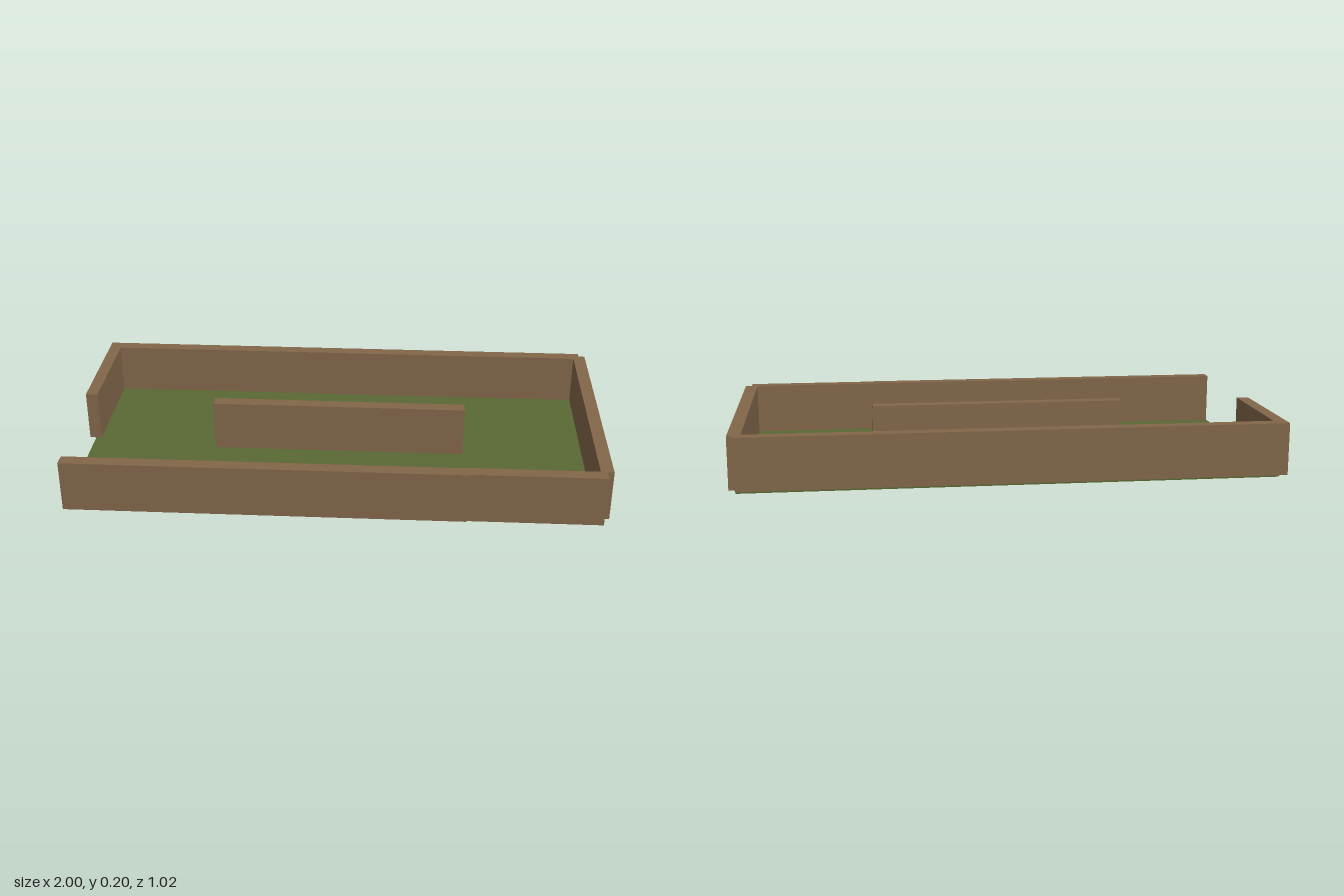
import * as THREE from 'three';

export function createModel() {
  const model = new THREE.Group();
  const wood = new THREE.MeshStandardMaterial({ color: 0x82674a });
  wood.name = 'brown wood';
  const grass = new THREE.MeshStandardMaterial({ color: 0x5a6833 });
  grass.name = 'olive green';

  const FLOOR = 0.012, TOP = 0.205;

  // Box given by its extents
  function block(name, material, x0, x1, y0, y1, z0, z1) {
    const mesh = new THREE.Mesh(new THREE.BoxGeometry(x1 - x0, y1 - y0, z1 - z0), material);
    mesh.position.set((x0 + x1) / 2, (y0 + y1) / 2, (z0 + z1) / 2);
    mesh.name = name;
    model.add(mesh);
  }

  block('floor', grass, -0.976, 0.976, 0, FLOOR, -0.487, 0.487);

  // Walls: name, x range, z range; the right side keeps an open entrance
  const walls = [
    ['backWall', -0.976, 0.976, -0.512, -0.464],
    ['rightWall', -1, -0.954, -0.512, -0.026],
    ['leftWall', 0.952, 1, -0.487, 0.463],
    ['frontWallLong', -0.976, 0.487, 0.462, 0.512],
    ['frontWallShort', 0.487, 0.976, 0.459, 0.507],
    ['centreWall', -0.487, 0.487, -0.025, 0.024],
  ];
  for (const [name, x0, x1, z0, z1] of walls) block(name, wood, x0, x1, FLOOR, TOP, z0, z1);

  return model;
}
